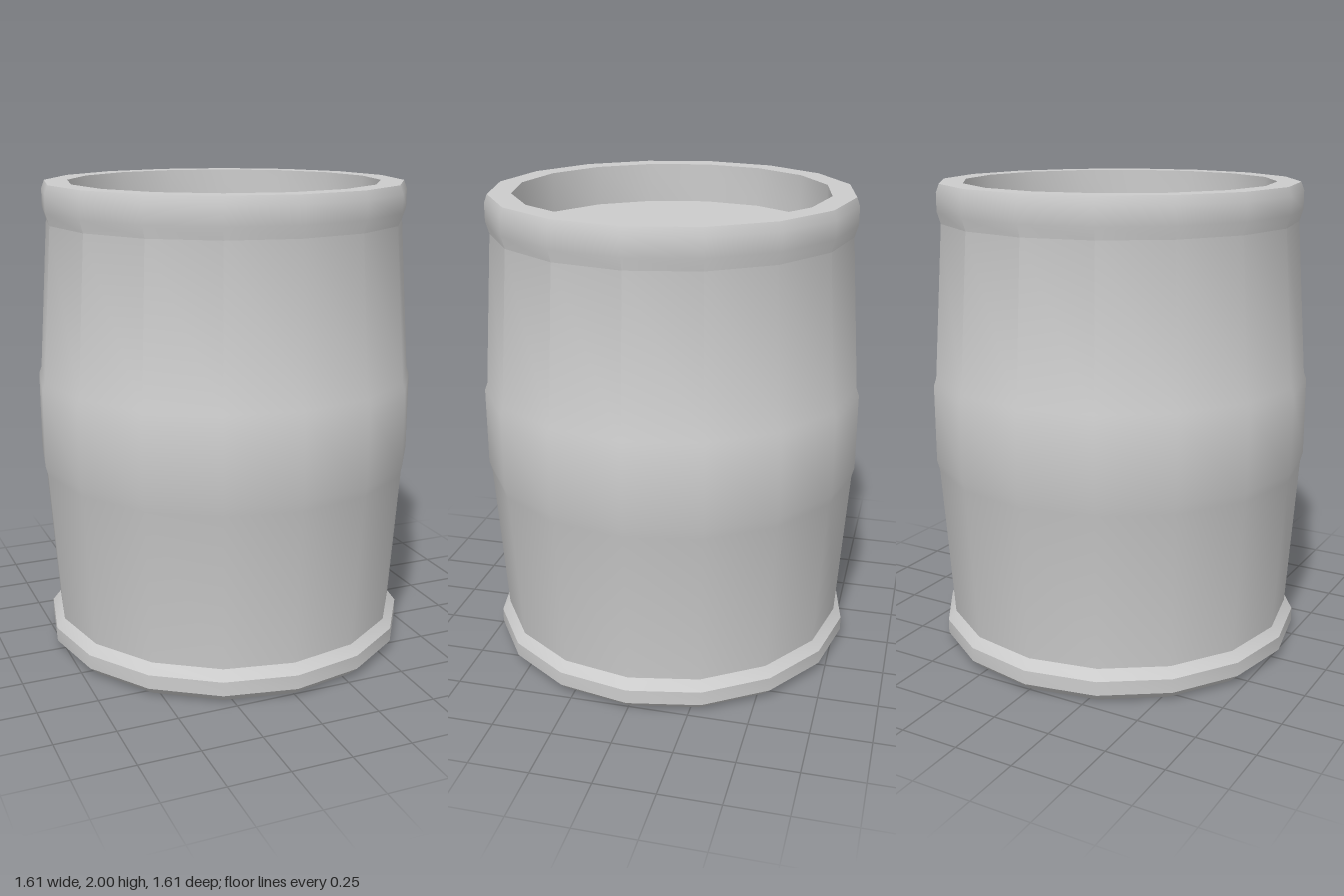
import * as THREE from 'three';
import { toCreasedNormals } from 'three/addons/utils/BufferGeometryUtils.js';

const SIDES = 16;

export function createModel() {
  const group = new THREE.Group();
  group.name = 'barrel';
  const material = new THREE.MeshStandardMaterial({ color: 0xcccccc });

  // Revolve [radius, height] pairs, listed from the bottom up the outside
  const addLathe = (name, profile) => {
    const points = profile.map(([r, y]) => new THREE.Vector2(r, y));
    const geometry = toCreasedNormals(new THREE.LatheGeometry(points, SIDES), Math.PI / 6);
    const mesh = new THREE.Mesh(geometry, material);
    mesh.name = name;
    group.add(mesh);
  };

  // Flat discs sunk into both ends
  const addEnd = (name, y, tilt) => {
    const geometry = new THREE.CircleGeometry(0.655, SIDES);
    geometry.rotateX(tilt);
    const mesh = new THREE.Mesh(geometry, material);
    mesh.name = name;
    mesh.position.y = y;
    group.add(mesh);
  };

  // Recess wall, chamfered foot ring
  addLathe('footRing', [
    [0.655, 0.17], [0.655, 0], [0.742, 0], [0.785, 0.04], [0.785, 0.1], [0.75, 0.14],
  ]);

  // Bulging wall with a raised middle band and a rolled top lip
  addLathe('body', [
    [0.75, 0.14], [0.795, 0.8], [0.806, 0.84], [0.806, 1.17], [0.795, 1.2],
    [0.75, 1.84], [0.765, 1.89], [0.765, 1.965], [0.752, 2],
  ]);

  // Top rim and the wall of its recess
  addLathe('topRim', [[0.752, 2], [0.655, 2], [0.655, 1.83]]);

  addEnd('lid', 1.83, -Math.PI / 2);
  addEnd('bottomPlate', 0.17, Math.PI / 2);

  return group;
}
